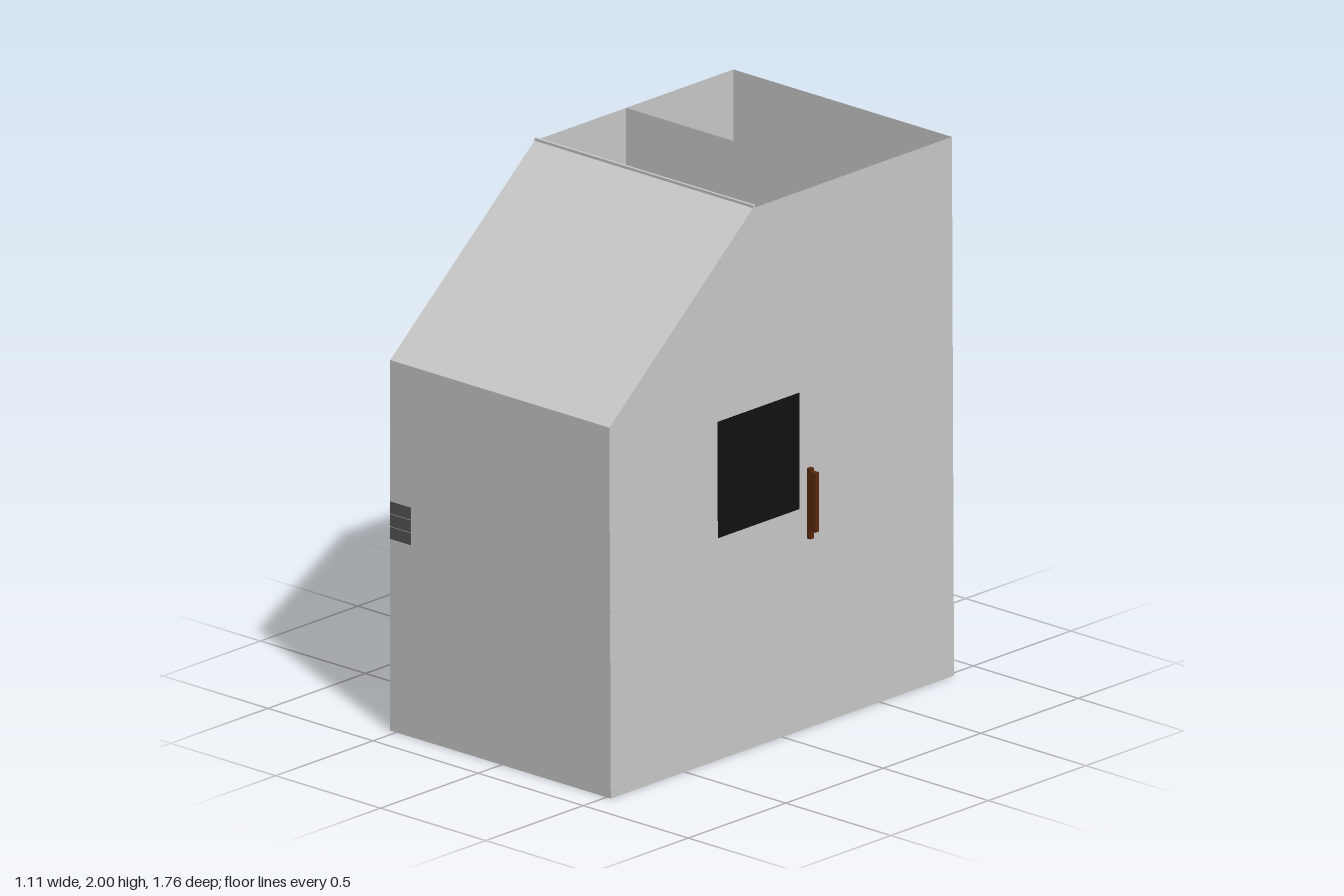
import * as THREE from 'three';

const mat = (color) => new THREE.MeshStandardMaterial({ color, side: THREE.DoubleSide });
const grey = mat(0xcccccc);
const wood = mat(0x5a2a0c);
const dark = mat(0x555555);
const black = mat(0x111111);

const BACK = -0.88, FRONT = 0.88, RIDGE = 0.14, TOP = 1.99, EAVE = 1.37;
const RIGHT_X = -0.53;
// the left wall leans inward slightly
const leftX = (y) => 0.52 - 0.005 * y;

export function createModel() {
  const group = new THREE.Group();

  function add(parent, name, geometry, material) {
    const mesh = new THREE.Mesh(geometry, material);
    mesh.name = name;
    parent.add(mesh);
    return mesh;
  }

  // box given by its extents
  function box(parent, name, [x0, x1], [y0, y1], [z0, z1], material = grey) {
    const mesh = add(parent, name, new THREE.BoxGeometry(x1 - x0, y1 - y0, z1 - z0), material);
    mesh.position.set((x0 + x1) / 2, (y0 + y1) / 2, (z0 + z1) / 2);
    return mesh;
  }

  // flat convex panel through a loop of corners
  function panel(name, corners, material = grey) {
    const index = [];
    for (let i = 1; i < corners.length - 1; i++) index.push(0, i, i + 1);
    const g = new THREE.BufferGeometry();
    g.setAttribute('position', new THREE.Float32BufferAttribute(corners.flat(), 3));
    g.setIndex(index);
    g.computeVertexNormals();
    return add(group, name, g, material);
  }

  // panel running from the right wall to the left wall between two (y, z) points
  const span = (name, [y0, z0], [y1, z1]) => panel(name, [
    [RIGHT_X, y0, z0], [leftX(y0), y0, z0], [leftX(y1), y1, z1], [RIGHT_X, y1, z1],
  ]);

  // side walls with the sloped front corner
  const profile = [[0, FRONT], [0, BACK], [TOP, BACK], [TOP, RIDGE], [EAVE, FRONT]];
  panel('leftWall', profile.map(([y, z]) => [leftX(y), y, z]));
  panel('rightWall', profile.map(([y, z]) => [RIGHT_X, y, z]).reverse());

  // outer shell, open above the rear rooms
  span('frontWall', [0, FRONT], [EAVE, FRONT]);
  span('slopedRoof', [EAVE, FRONT], [TOP, RIDGE]);
  span('backWall', [TOP, BACK], [0, BACK]);
  span('base', [0, BACK], [0, FRONT]);
  span('partition', [0, -0.33], [TOP, -0.33]);
  box(group, 'roofLip', [RIGHT_X, 0.51], [1.97, 2], [RIDGE - 0.01, RIDGE]);

  // inner floors, the middle one notched for the stairs
  box(group, 'atticFloor', [RIGHT_X, 0.51], [1.31, 1.33], [-0.33, 0.87]);
  box(group, 'middleFloor', [RIGHT_X, 0.518], [0.68, 0.7], [0.13, FRONT]);
  box(group, 'landing', [0, 0.518], [0.68, 0.7], [-0.14, 0.13]);

  // tiled rear floor
  const tiles = new THREE.Group();
  tiles.name = 'tiledFloor';
  group.add(tiles);
  for (let i = 0; i < 9; i++) {
    for (let j = 0; j < 5; j++) {
      const x = RIGHT_X + i * 0.116, z = BACK + j * 0.11;
      box(tiles, 'tile', [x, x + 0.114], [0.005, 0.03], [z, z + 0.108]);
    }
  }

  // wooden chest of planks in the rear room
  const chest = new THREE.Group();
  chest.name = 'plankChest';
  group.add(chest);
  const cuts = [-0.6, -0.53, -0.465, -0.39, -0.332];
  for (let i = 0; i < 4; i++) {
    box(chest, 'plank', [RIGHT_X + 0.004, -0.265], [0.03, 0.4], [cuts[i], cuts[i + 1] - 0.001], wood);
  }

  // spiral stair whose outer steps pierce the right wall
  const stairs = new THREE.Group();
  stairs.name = 'spiralStair';
  stairs.position.set(-0.3, 0, 0.05);
  group.add(stairs);
  for (let k = 0; k < 13; k++) {
    const height = 0.07 + 0.05 * k;
    const pivot = new THREE.Group();
    pivot.name = 'step';
    pivot.rotation.y = THREE.MathUtils.degToRad(-9 + (k - 9) * 30);
    stairs.add(pivot);
    box(pivot, 'tread', [-0.25, 0], [height - 0.05, height], [-0.07, 0.07], wood);
  }
  const pole = add(stairs, 'stairPole', new THREE.CylinderGeometry(0.02, 0.02, 0.7, 12), wood);
  pole.position.y = 0.35;

  // railing at the landing edge, poking through the left wall
  const railing = new THREE.Group();
  railing.name = 'railing';
  group.add(railing);
  for (let i = 0; i < 5; i++) {
    const x = 0.01 + i * 0.125;
    box(railing, 'post', [x, x + 0.022], [0.7, 0.96], [-0.15, -0.13], wood);
  }
  box(railing, 'railBoard', [0.01, 0.555], [0.73, 0.95], [-0.149, -0.131], wood);

  // window on the left wall
  const wx = (y) => leftX(y) + 0.003;
  panel('window', [
    [wx(0.82), 0.82, 0.33], [wx(0.82), 0.82, -0.09],
    [wx(1.25), 1.25, -0.09], [wx(1.25), 1.25, 0.33],
  ], black);

  // slatted grille in the front wall
  const grille = new THREE.Group();
  grille.name = 'grille';
  group.add(grille);
  for (let i = 0; i < 3; i++) {
    const y = 0.71 + i * 0.047;
    box(grille, 'slat', [RIGHT_X + 0.002, -0.43], [y, y + 0.044], [0.8, 0.883], dark);
  }
  return group;
}
